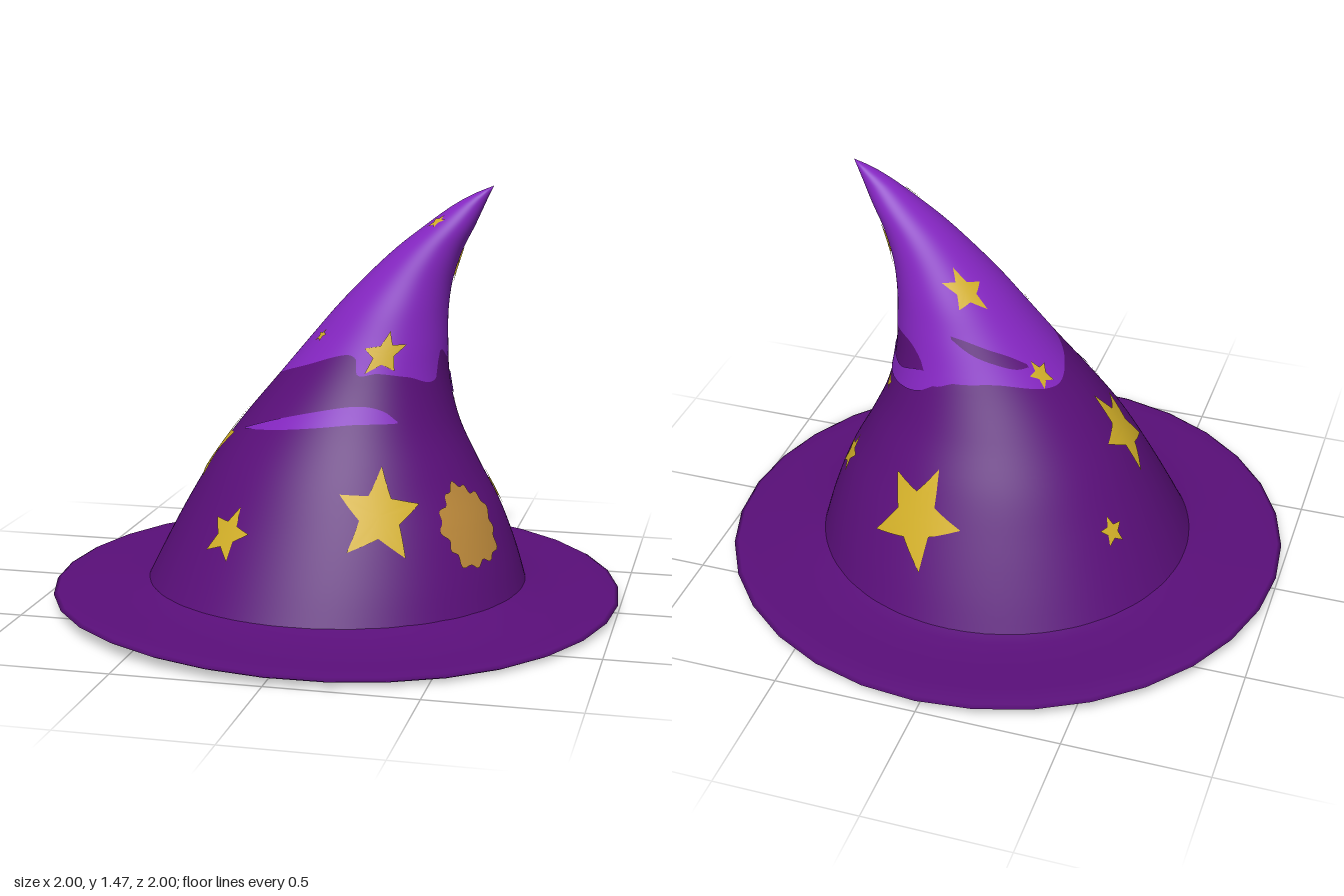
import * as THREE from 'three';
import { mergeVertices } from 'three/addons/utils/BufferGeometryUtils.js';

const material = (name, color, side = THREE.FrontSide) => {
  const m = new THREE.MeshStandardMaterial({ color, side });
  m.name = name;
  return m;
};

// Smooth curve through rows of [key, value...], read at key x
function smooth(rows, col, x) {
  const n = rows.length;
  let i = 0;
  while (i < n - 2 && x > rows[i + 1][0]) i++;
  const slope = k => {
    const a = rows[Math.max(0, k - 1)], b = rows[Math.min(n - 1, k + 1)];
    return (b[col] - a[col]) / (b[0] - a[0]);
  };
  const h = rows[i + 1][0] - rows[i][0];
  const t = THREE.MathUtils.clamp((x - rows[i][0]) / h, 0, 1), t2 = t * t, t3 = t2 * t;
  return (2 * t3 - 3 * t2 + 1) * rows[i][col] + (t3 - 2 * t2 + t) * h * slope(i)
    + (3 * t2 - 2 * t3) * rows[i + 1][col] + (t3 - t2) * h * slope(i + 1);
}

// Cone outline: height, left edge, right edge, half depth
const OUTLINE = [
  [0.06, -0.675, 0.675, 0.67], [0.2, -0.605, 0.635, 0.605], [0.35, -0.525, 0.578, 0.53],
  [0.5, -0.435, 0.5, 0.45], [0.65, -0.325, 0.432, 0.36], [0.8, -0.2, 0.397, 0.283],
  [0.95, -0.075, 0.39, 0.222], [1.05, 0.01, 0.392, 0.185], [1.15, 0.105, 0.407, 0.145],
  [1.25, 0.21, 0.44, 0.107], [1.33, 0.31, 0.48, 0.075], [1.4, 0.405, 0.512, 0.042],
  [1.44, 0.475, 0.53, 0.022], [1.47, 0.545, 0.545, 0],
];
const RAD = Math.PI / 180;

// Point on the cone; angle in degrees from the front (+z) towards +x
function onCone(deg, y, off = 0) {
  const l = smooth(OUTLINE, 1, y), r = smooth(OUTLINE, 2, y), d = smooth(OUTLINE, 3, y);
  const a = deg * RAD;
  return [(l + r) / 2 + Math.max(0, (r - l) / 2 + off) * Math.sin(a), y,
    Math.max(0, d + off) * Math.cos(a)];
}

// Surface from a rule point(u, v), u and v from 0 to 1
function sheet(nu, nv, point, flip = false) {
  const pos = [], idx = [];
  for (let j = 0; j <= nv; j++) {
    for (let i = 0; i <= nu; i++) pos.push(...point(i / nu, j / nv));
  }
  for (let j = 0; j < nv; j++) {
    for (let i = 0; i < nu; i++) {
      const a = j * (nu + 1) + i, b = a + 1, c = a + nu + 1, d = c + 1;
      idx.push(...(flip ? [a, c, b, b, c, d] : [a, b, c, b, d, c]));
    }
  }
  let g = new THREE.BufferGeometry();
  g.setAttribute('position', new THREE.Float32BufferAttribute(pos, 3));
  g.setIndex(idx);
  g = mergeVertices(g, 1e-5);
  g.computeVertexNormals();
  return g;
}

// Wavy edge between the dark cloth and the bright tip: angle, height
const EDGE = [
  [-180, 0.82], [-150, 0.82], [-110, 0.77], [-85, 0.8], [-45, 0.86], [-15, 0.91], [-3, 0.9],
  [3, 0.85], [17, 0.855], [40, 0.84], [67, 0.82], [72, 0.91], [90, 0.88], [104, 0.9],
  [140, 0.91], [154, 0.87], [160, 0.8], [180, 0.82],
];
// Streaks: angle, lower edge, upper edge
const FRONT_STREAK = [[-57, 0.635, 0.64], [-35, 0.655, 0.69], [-8, 0.68, 0.735], [12, 0.695, 0.752],
  [27, 0.695, 0.735], [36, 0.695, 0.7]];
const SIDE_STREAK = [[90, 0.765, 0.78], [98, 0.745, 0.81], [115, 0.735, 0.81], [130, 0.74, 0.8],
  [150, 0.76, 0.83], [165, 0.8, 0.84]];
const BACK_STREAK = [[-172, 0.96, 0.97], [-160, 0.915, 0.955], [-145, 0.88, 0.925],
  [-132, 0.855, 0.895], [-122, 0.85, 0.86]];

// Stars: angle, height, radius, turn
const STARS = [
  [-31, 0.33, 0.09, -10], [25.5, 0.42, 0.15, -8], [17, 0.92, 0.075, 5], [-51, 0.96, 0.023, 0],
  [-40, 1.35, 0.023, 0], [-83, 0.54, 0.14, 12], [-120, 0.33, 0.05, 0], [164, 0.4, 0.17, -20],
  [-116, 0.82, 0.045, 10], [-138, 1.1, 0.07, -8], [108, 1.19, 0.068, -5], [115, 0.7, 0.032, 0],
  [109.5, 0.385, 0.07, 5],
];

// Flat shape wrapped on the cone; reach(s) is its radius around the centre
function decal(deg, y, count, reach, turn = 0) {
  const p0 = onCone(deg, y), p1 = onCone(deg + 1, y);
  const perUnit = 1 / Math.hypot(p1[0] - p0[0], p1[2] - p0[2]);
  return sheet(count, 8, (u, v) => {
    const a = (90 + turn) * RAD + u * Math.PI * 2, r = reach(u) * v;
    return onCone(deg + Math.cos(a) * r * perUnit, y + Math.sin(a) * r, 0.005);
  }, true);
}

// Five-pointed outline with straight sides
function starReach(radius) {
  const half = Math.PI / 5, inner = 0.46;
  return u => {
    const f = Math.abs(((u * 5 + 0.5) % 1) - 0.5) * 2 * half;
    return radius * inner * Math.sin(half)
      / (inner * Math.sin(half - f) + Math.sin(f));
  };
}

export function createModel() {
  const dark = material('dark purple cloth', 0x5a0f7a);
  const darkTrim = material('dark purple streak', 0x5a0f7a, THREE.DoubleSide);
  const bright = material('bright purple cloth', 0x8526c2, THREE.DoubleSide);
  const gold = material('gold', 0xd2af28, THREE.DoubleSide);
  const bronze = material('bronze', 0xbb883a, THREE.DoubleSide);

  const hat = new THREE.Group();
  hat.name = 'pointedHat';
  const add = (name, geometry, mat) => {
    const mesh = new THREE.Mesh(geometry, mat);
    mesh.name = name;
    hat.add(mesh);
  };

  // Cone, split along the wavy edge, and its hollow inside
  const lerp = THREE.MathUtils.lerp;
  const edge = deg => smooth(EDGE, 1, deg);
  add('lowerCone', sheet(144, 28, (u, v) => {
    const deg = u * 360 - 180;
    return onCone(deg, lerp(0.06, edge(deg), v));
  }), dark);
  add('upperCone', sheet(144, 28, (u, v) => {
    const deg = u * 360 - 180;
    return onCone(deg, lerp(edge(deg), 1.47, v));
  }), bright);
  add('coneLining', sheet(48, 24, (u, v) =>
    onCone(u * 360 - 180, lerp(0.06, 1.38, v), -0.022), true), dark);

  // Brim: thin closed section, dipping gently at the front right
  const section = [[0.66, 0.085], [0.7, 0.073], [0.8, 0.062], [0.92, 0.06], [0.985, 0.054],
    [1, 0.046], [0.985, 0.038], [0.92, 0.03], [0.8, 0.028], [0.7, 0.034], [0.65, 0.06]];
  add('brim', sheet(32, section.length - 1, (u, v) => {
    const [r, y] = section[Math.round(v * (section.length - 1))];
    const a = u * Math.PI * 2;
    const c = Math.cos(a - 48 * RAD);
    const wave = c > 0 ? -0.028 * c * c : 0.007 * c * c;
    const w = THREE.MathUtils.smoothstep(r, 0.66, 0.85);
    return [r * Math.sin(a), y + wave * w, r * Math.cos(a)];
  }, true), dark);

  // Cloth streaks
  const streak = (name, rows, mat) => add(name, sheet(40, 4, (u, v) => {
    const deg = lerp(rows[0][0], rows[rows.length - 1][0], u);
    return onCone(deg, lerp(smooth(rows, 1, deg), smooth(rows, 2, deg), v), 0.004);
  }), mat);
  streak('frontStreak', FRONT_STREAK, bright);
  streak('sideStreak', SIDE_STREAK, bright);
  streak('backStreak', BACK_STREAK, darkTrim);

  // Stars and the ragged round patch
  STARS.forEach(([deg, y, radius, turn], i) =>
    add('star' + (i + 1), decal(deg, y, 40, starReach(radius), turn), gold));
  add('roundPatch', decal(63, 0.35, 72, u =>
    0.128 + 0.009 * Math.sin(u * 26 * Math.PI) + 0.008 * Math.sin(u * 10 * Math.PI + 1)), bronze);

  return hat;
}
